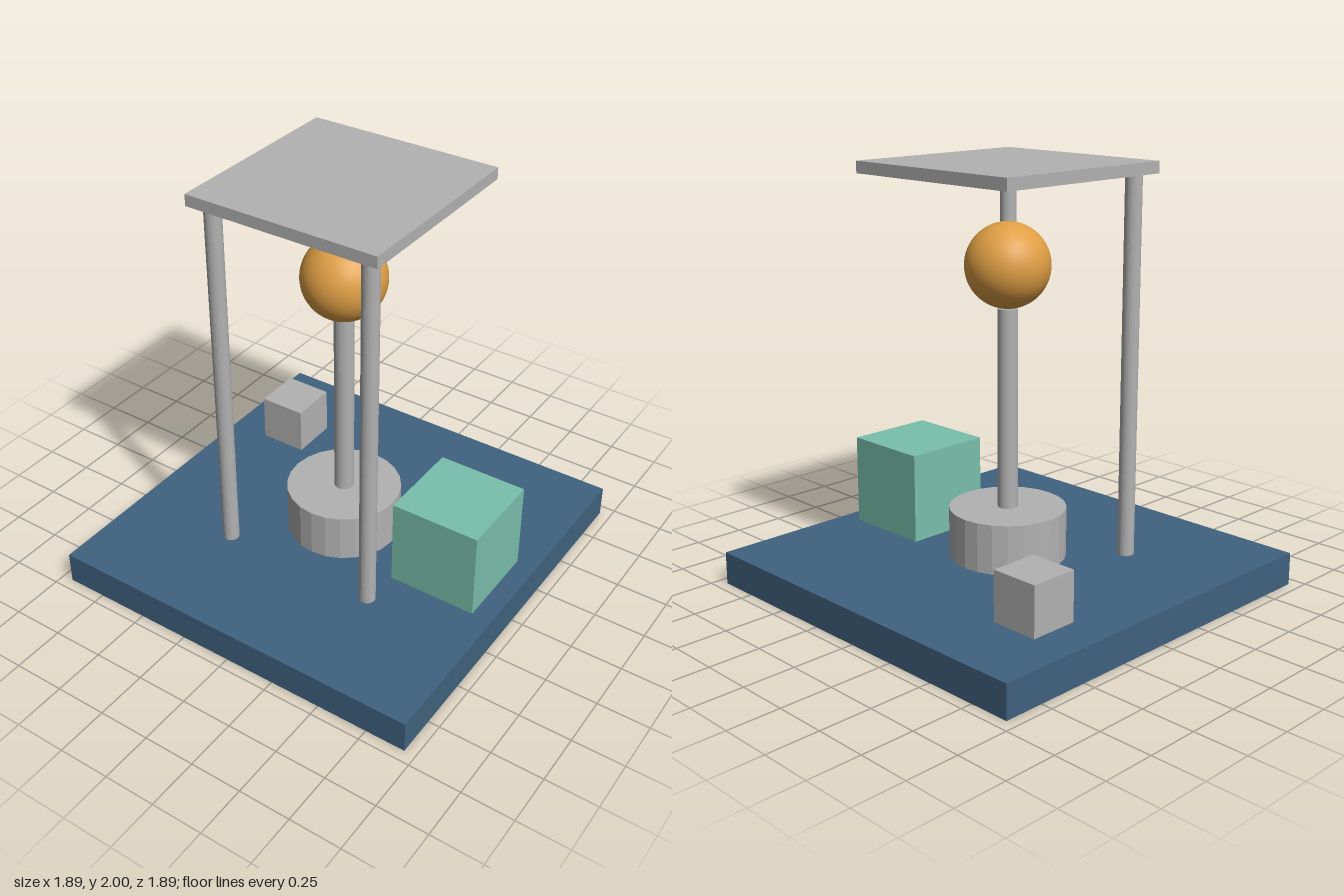
import * as THREE from 'three';

const U = 2 / 25.4; // design unit: the whole model is 25.4 units tall

const material = (name, color) => {
  const m = new THREE.MeshStandardMaterial({ color });
  m.name = name;
  return m;
};

export function createModel() {
  const model = new THREE.Group();
  model.name = 'pavilion';

  const blue = material('slate blue', 0x40627f);
  const grey = material('stone grey', 0xb2b2b2);
  const green = material('sea green', 0x7abfac);
  const amber = material('amber', 0xdf9f45);

  // Place a geometry with its bottom at the given height
  const add = (name, geometry, mat, x, bottom, z, height) => {
    const mesh = new THREE.Mesh(geometry, mat);
    mesh.name = name;
    mesh.position.set(x * U, (bottom + height / 2) * U, z * U);
    model.add(mesh);
  };
  const box = (name, mat, w, h, d, x, bottom, z) =>
    add(name, new THREE.BoxGeometry(w * U, h * U, d * U), mat, x, bottom, z, h);
  // Faceted cylinder, split vertices so each side reads as flat
  const cylinder = (name, mat, r, h, x, bottom, z) => {
    const g = new THREE.CylinderGeometry(r * U, r * U, h * U, 24).toNonIndexed();
    g.computeVertexNormals();
    add(name, g, mat, x, bottom, z, h);
  };

  // Ground slab
  box('base', blue, 24, 2, 24, 0, 0, 0);

  // Central pedestal, pole and ball
  cylinder('pedestal', grey, 3.5, 3, 0, 2, 0);
  cylinder('pole', grey, 0.6, 12, 0, 5, 0);
  add('ball', new THREE.SphereGeometry(2.5 * U, 48, 32), amber, 0, 17, 0, 5);

  // Canopy carried by two front posts
  for (const side of [-1, 1]) {
    cylinder(side > 0 ? 'leftPost' : 'rightPost', grey, 0.5, 22.7, side * 5, 2, 5);
  }
  box('canopy', grey, 12, 0.7, 12, 0, 24.7, 0);

  // Blocks standing on the slab
  box('largeBlock', green, 5.5, 5.5, 5.5, 8, 2, 0);
  box('smallBlock', grey, 3, 3, 3, -8, 2, -6);

  return model;
}
